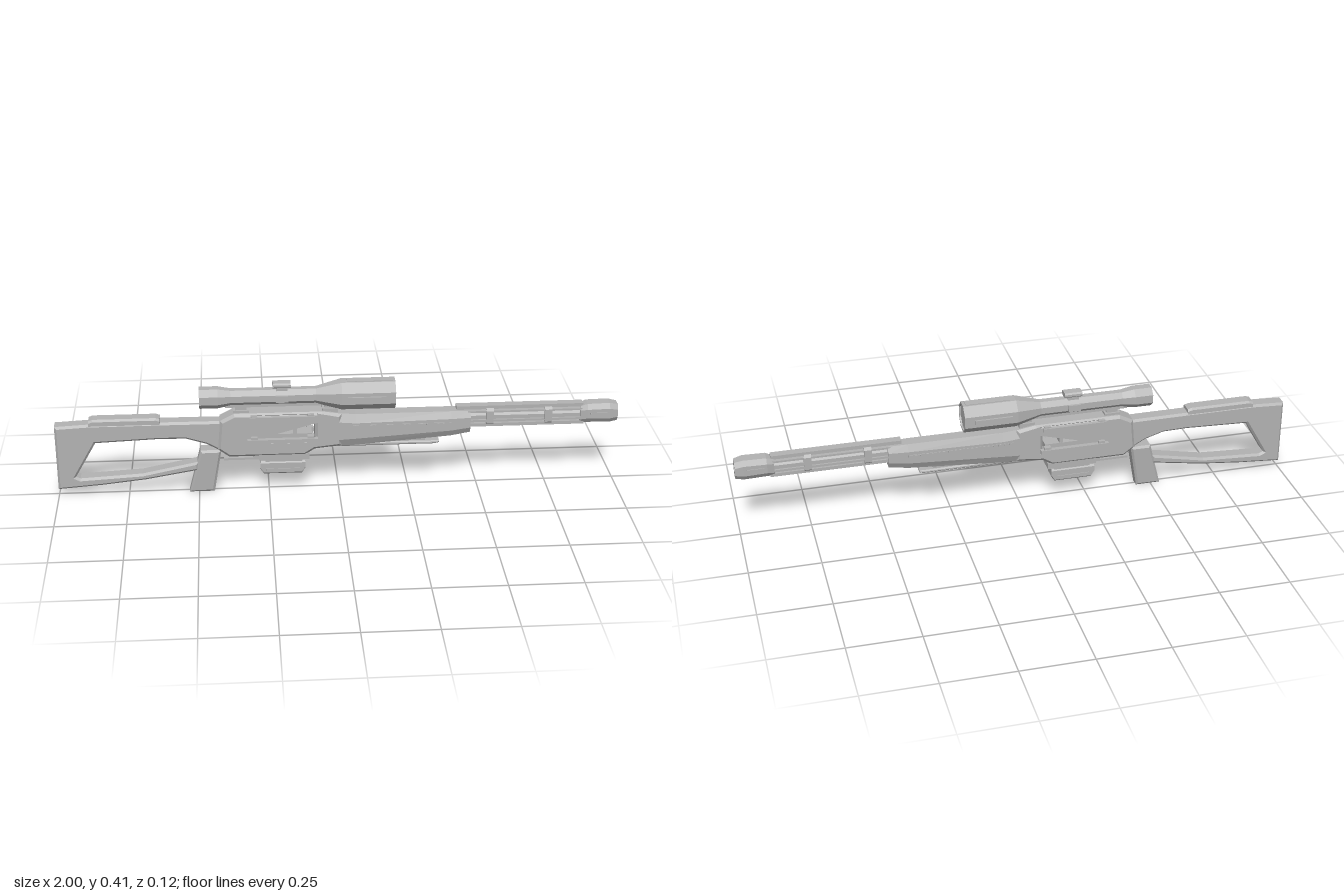
import * as THREE from 'three';

const grey = new THREE.MeshStandardMaterial({ color: 0xb2b2b2 });
grey.name = 'grey';

export function createModel() {
  const root = new THREE.Group();

  function add(name, geometry, x = 0, y = 0, z = 0) {
    const g = geometry.index ? geometry.toNonIndexed() : geometry;
    g.computeVertexNormals();
    const mesh = new THREE.Mesh(g, grey);
    mesh.name = name;
    mesh.position.set(x, y, z);
    root.add(mesh);
    return mesh;
  }

  // box given by its x, y and z limits
  const box = (name, x0, x1, y0, y1, z0, z1) => add(name,
    new THREE.BoxGeometry(x1 - x0, y1 - y0, z1 - z0), (x0 + x1) / 2, (y0 + y1) / 2, (z0 + z1) / 2);
  const mid = (name, x0, x1, y0, y1, hz) => box(name, x0, x1, y0, y1, -hz, hz);
  const pair = (name, x0, x1, y0, y1, z0, z1) => {
    box(name + 'Left', x0, x1, y0, y1, z0, z1);
    box(name + 'Right', x0, x1, y0, y1, -z1, -z0);
  };

  // chamfered eight-sided sections [x, bottom, top, halfWidth, chamferZ, chamferY] joined along x
  function loft(name, sections) {
    const rings = sections.map(([x, b, t, w, cz, cy = cz]) => [
      [w, b + cy], [w, t - cy], [w - cz, t], [cz - w, t],
      [-w, t - cy], [-w, b + cy], [cz - w, b], [w - cz, b],
    ].map(([z, y]) => [x, y, z]));
    const pos = [];
    const tri = (a, b, c) => pos.push(...a, ...b, ...c);
    for (let i = 0; i + 1 < rings.length; i++) {
      for (let j = 0; j < 8; j++) {
        const k = (j + 1) % 8, a = rings[i], b = rings[i + 1];
        tri(a[j], b[j], b[k]);
        tri(a[j], b[k], a[k]);
      }
    }
    const first = rings[0], last = rings[rings.length - 1];
    for (let j = 1; j < 7; j++) {
      tri(first[0], first[j], first[j + 1]);
      tri(last[0], last[j + 1], last[j]);
    }
    const g = new THREE.BufferGeometry();
    g.setAttribute('position', new THREE.Float32BufferAttribute(pos, 3));
    return add(name, g);
  }

  // side outline extruded to a half width with bevelled edges
  function profile(name, outline, hw, bevel, hole) {
    const points = (list) => list.map(([x, y]) => new THREE.Vector2(x, y));
    const shape = new THREE.Shape(points(outline));
    if (hole) shape.holes.push(new THREE.Path(points(hole)));
    const g = new THREE.ExtrudeGeometry(shape, {
      depth: 2 * (hw - bevel), bevelEnabled: true, bevelThickness: bevel,
      bevelSize: bevel, bevelOffset: -bevel, bevelSegments: 1, curveSegments: 1,
    });
    g.translate(0, 0, bevel - hw);
    return add(name, g);
  }

  // skeleton stock: butt, upper arm and lower strut
  profile('stock', [
    [-1, 0.028], [-0.84, 0.04], [-0.69, 0.056], [-0.5, 0.088], [-0.5, 0.12], [-0.7, 0.08],
    [-0.92, 0.068], [-0.935, 0.075], [-0.86, 0.205], [-0.63, 0.214], [-0.54, 0.212],
    [-0.47, 0.19], [-0.4, 0.15], [-0.36, 0.16], [-0.36, 0.3], [-0.41, 0.277],
    [-0.63, 0.278], [-0.88, 0.278], [-1, 0.272],
  ], 0.028, 0.008);
  loft('cheekRest', [
    [-0.88, 0.265, 0.29, 0.026, 0.007], [-0.865, 0.265, 0.295, 0.026, 0.007],
    [-0.645, 0.265, 0.295, 0.026, 0.007], [-0.63, 0.265, 0.29, 0.026, 0.007],
  ]);

  // pistol grip
  const grip = profile('grip', [
    [-0.535, 0], [-0.445, 0], [-0.417, 0.165], [-0.492, 0.165],
  ], 0.03, 0.008);
  const gp = grip.geometry.attributes.position;
  for (let i = 0; i < gp.count; i++) gp.setZ(i, gp.getZ(i) * (0.72 + 1.7 * Math.min(gp.getY(i), 0.165)));
  grip.geometry.computeVertexNormals();
  mid('triggerPlate', -0.41, -0.28, 0.118, 0.126, 0.012);
  mid('triggerPost', -0.305, -0.285, 0.118, 0.145, 0.012);

  // receiver with an open window
  profile('receiver', [
    [-0.43, 0.17], [-0.39, 0.14], [-0.12, 0.14], [-0.085, 0.162], [0.01, 0.172],
    [0.01, 0.295], [-0.06, 0.306], [-0.37, 0.306], [-0.42, 0.28],
  ], 0.037, 0.01, [[-0.295, 0.2], [-0.085, 0.2], [-0.085, 0.292], [-0.295, 0.292]]);

  // window rails and bolt assembly
  pair('upperRail', -0.315, -0.085, 0.283, 0.297, 0.036, 0.049);
  pair('lowerRail', -0.325, -0.075, 0.198, 0.212, 0.036, 0.053);
  for (const x of [-0.3, -0.1]) {
    pair('upperBracket', x - 0.012, x + 0.012, 0.278, 0.302, 0.03, 0.044);
    pair('lowerBracket', x - 0.012, x + 0.012, 0.193, 0.22, 0.03, 0.048);
  }
  for (const x of [-0.245, -0.155]) mid('boltFramePost', x - 0.007, x + 0.007, 0.195, 0.295, 0.024);
  mid('boltFrameSill', -0.285, -0.095, 0.2, 0.222, 0.026);
  mid('boltFrameHeader', -0.25, -0.15, 0.278, 0.295, 0.024);
  add('boltBall', new THREE.IcosahedronGeometry(0.028, 1), -0.2, 0.25, 0);
  const bolt = add('boltRod', new THREE.CylinderGeometry(0.01, 0.01, 0.1, 8), -0.2, 0.25, 0);
  bolt.rotation.z = Math.PI / 2;

  // magazine
  mid('magazineCollar', -0.285, -0.105, 0.122, 0.145, 0.03);
  mid('magazineNeck', -0.262, -0.13, 0.11, 0.125, 0.024);
  loft('magazine', [
    [-0.28, 0.085, 0.115, 0.028, 0.006], [-0.268, 0.066, 0.115, 0.028, 0.006],
    [-0.132, 0.066, 0.115, 0.028, 0.006], [-0.12, 0.085, 0.115, 0.028, 0.006],
  ]);
  pair('magazineRib', -0.26, -0.14, 0.08, 0.088, 0.027, 0.031);

  // fore-end with side strips, vents and lower plate
  loft('foreEnd', [
    [-0.01, 0.166, 0.296, 0.037, 0.014, 0.03], [0.06, 0.17, 0.29, 0.037, 0.014, 0.03],
    [0.4, 0.195, 0.29, 0.035, 0.013, 0.025], [0.47, 0.206, 0.288, 0.031, 0.012, 0.022],
  ]);
  pair('foreEndStrip', 0.02, 0.4, 0.246, 0.253, 0.034, 0.038);
  for (let i = 0; i < 18; i++) {
    const x = 0.03 + i * 0.02;
    pair('vent', x, x + 0.008, 0.247, 0.252, 0.036, 0.04);
  }
  loft('lowerPlate', [
    [0.0, 0.163, 0.178, 0.02, 0.004], [0.345, 0.163, 0.175, 0.02, 0.004],
    [0.36, 0.167, 0.175, 0.018, 0.003],
  ]);
  mid('lowerPlateSpacer', 0.02, 0.31, 0.17, 0.195, 0.012);

  // barrel, rods, clamps and top rail
  const octagon = (x, y, r) => [x, y - r, y + r, r, r * 0.586];
  loft('barrel', [octagon(0.45, 0.26, 0.017), octagon(0.9, 0.26, 0.017)]);
  mid('barrelTopRail', 0.42, 0.875, 0.291, 0.304, 0.015);
  mid('barrelTopBar', 0.46, 0.88, 0.28, 0.287, 0.022);
  mid('barrelBottomBar', 0.46, 0.88, 0.226, 0.238, 0.02);
  pair('barrelSideRod', 0.46, 0.88, 0.245, 0.253, 0.016, 0.024);
  for (const x of [0.54, 0.75]) {
    loft('barrelClamp', [[x - 0.013, 0.23, 0.295, 0.025, 0.009], [x + 0.013, 0.23, 0.295, 0.025, 0.009]]);
  }

  // muzzle with a shallow bore
  loft('muzzle', [
    [0.865, 0.23, 0.292, 0.024, 0.009, 0.014], [0.89, 0.232, 0.302, 0.032, 0.012, 0.018],
    [0.97, 0.23, 0.304, 0.032, 0.012, 0.018], [1, 0.234, 0.297, 0.028, 0.012, 0.018],
    [1, 0.25, 0.28, 0.013, 0.006], [0.985, 0.25, 0.28, 0.013, 0.006],
  ]);
  pair('muzzleSlot', 0.9, 0.96, 0.262, 0.272, 0.031, 0.035);

  // scope body with recessed lenses
  const S = 0.36;
  loft('scope', [
    octagon(-0.484, S, 0.029), octagon(-0.49, S, 0.029), octagon(-0.49, S, 0.036),
    octagon(-0.425, S, 0.036), octagon(-0.38, S, 0.028), octagon(-0.08, S, 0.028),
    octagon(0.01, S, 0.051), octagon(0.2, S, 0.051), octagon(0.2, S, 0.045), octagon(0.194, S, 0.045),
  ]);
  pair('scopeSidePlate', 0.03, 0.165, 0.352, 0.368, 0.048, 0.058);
  mid('scopeTopPlate', 0.03, 0.19, 0.405, 0.413, 0.015);
  mid('scopeUnderRail', -0.4, 0.0, 0.324, 0.337, 0.014);

  // turret knobs and scope mounts
  mid('turretBase', -0.22, -0.18, 0.38, 0.396, 0.016);
  loft('turretCap', [[-0.232, 0.394, 0.412, 0.02, 0.005], [-0.168, 0.394, 0.412, 0.02, 0.005]]);
  pair('turretSide', -0.222, -0.178, 0.348, 0.372, 0.025, 0.037);
  for (const x of [-0.345, -0.03]) {
    mid('scopeMount', x - 0.02, x + 0.02, 0.29, 0.335, 0.014);
    mid('scopeMountFoot', x - 0.028, x + 0.028, 0.295, 0.314, 0.021);
  }
  return root;
}
